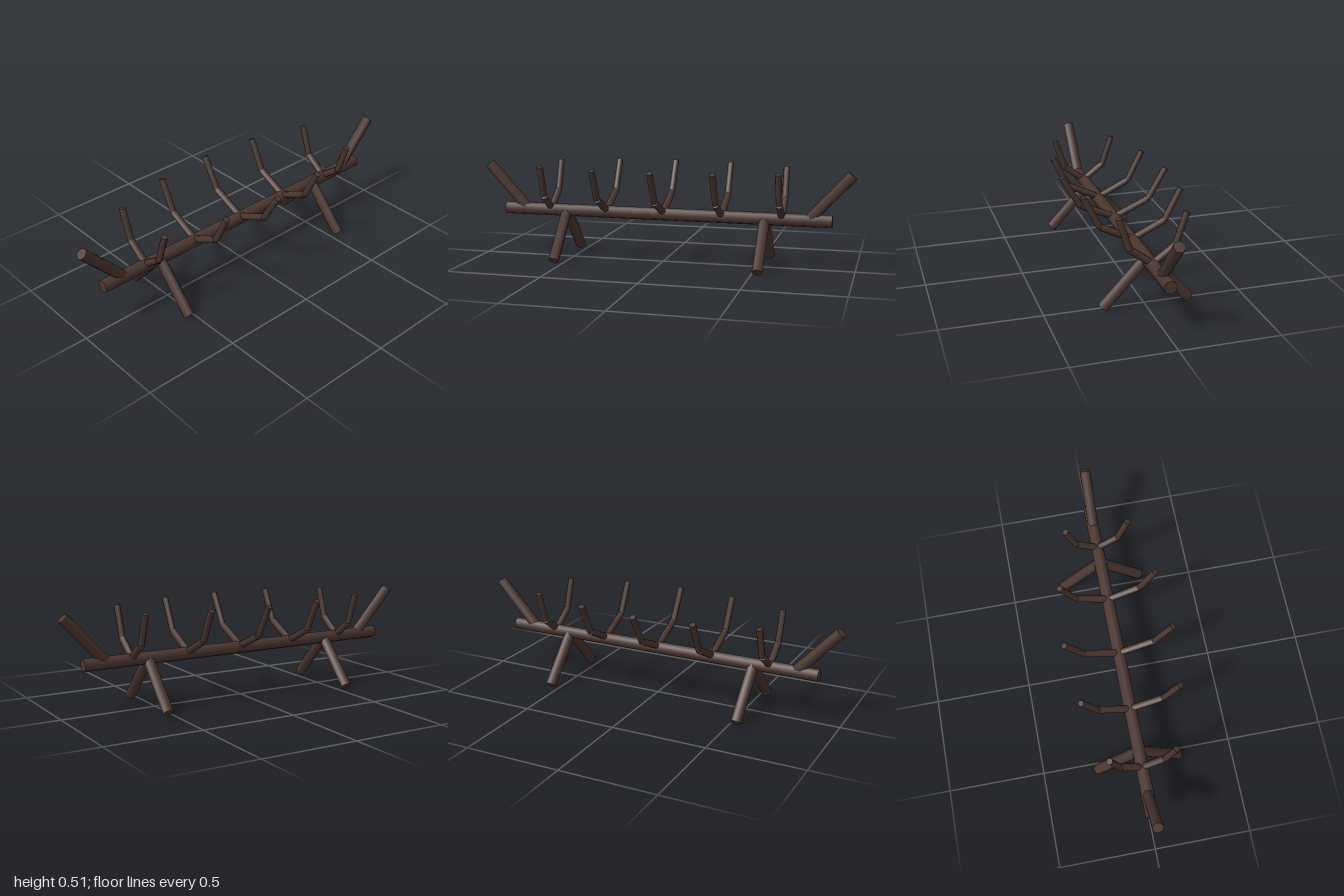
import * as THREE from 'three';

export function createModel() {
  const group = new THREE.Group();
  const bark = new THREE.MeshStandardMaterial({ color: 0x4a362f });
  bark.name = 'dark bark';

  // A log running from point a to point b
  function log(name, a, b, radius, sides = 7) {
    const start = new THREE.Vector3(...a);
    const end = new THREE.Vector3(...b);
    const dir = end.clone().sub(start);
    const geometry = new THREE.CylinderGeometry(radius, radius, dir.length(), sides);
    const mesh = new THREE.Mesh(geometry, bark);
    mesh.name = name;
    mesh.position.copy(start).add(end).multiplyScalar(0.5);
    mesh.quaternion.setFromUnitVectors(new THREE.Vector3(0, 1, 0), dir.normalize());
    group.add(mesh);
  }

  const spineY = 0.256;
  log('spine', [-0.88, spineY, 0], [0.88, spineY, 0], 0.033, 8);

  // Slanted end stakes and splayed legs
  for (const sx of [-1, 1]) {
    log('endStake', [sx * 0.762, spineY + 0.005, 0], [sx * 0.975, 0.493, 0], 0.029);
    for (const sz of [-1, 1]) {
      log('leg', [sx * 0.536, spineY, 0], [sx * 0.536, 0.022, sz * 0.217], 0.0285);
    }
  }

  // Bent ribs: [x, elbow z, tip z]
  const ribs = [
    [-0.623, 0.109, 0.165], [-0.311, 0.165, 0.249], [0, 0.181, 0.278],
    [0.311, 0.165, 0.249], [0.623, 0.109, 0.165],
  ];
  for (const [x, elbow, tip] of ribs) {
    for (const sz of [-1, 1]) {
      log('lowerRib', [x, 0.264, 0], [x, 0.345, sz * elbow], 0.0185);
      log('upperRib', [x, 0.346, sz * (elbow + 0.003)], [x, 0.507, sz * tip], 0.0168);
    }
  }
  return group;
}
